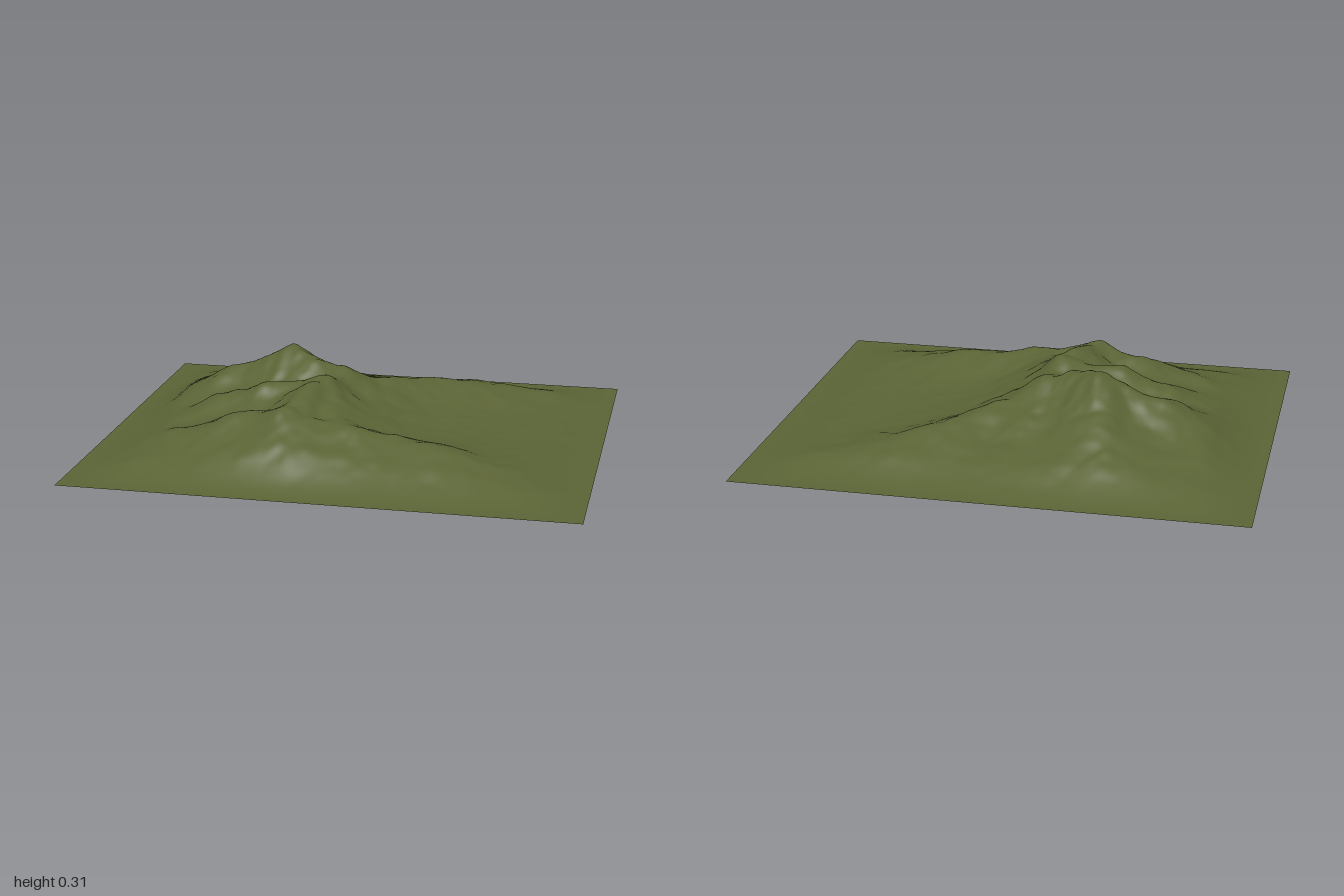
import * as THREE from 'three';

const HALF_X = 1, HALF_Z = 0.848;

// Ridge lines as [x, z, height] points
const RIDGES = [
  // north spine, from the west foot over the summit to the north-east foot
  [[-0.9, -0.12, 0.04], [-0.7, -0.16, 0.13], [-0.57, -0.17, 0.205], [-0.42, -0.17, 0.26], [-0.33, -0.2, 0.31],
    [-0.2, -0.13, 0.28], [-0.09, -0.12, 0.24], [0.03, -0.22, 0.175], [0.2, -0.38, 0.14], [0.4, -0.5, 0.1], [0.65, -0.6, 0.05]],
  // saddle to the southern massif and its broad east shoulder
  [[-0.09, -0.12, 0.24], [-0.09, 0, 0.225], [-0.12, 0.08, 0.255], [-0.16, 0.2, 0.26], [-0.18, 0.31, 0.235], [-0.2, 0.41, 0.215]],
  [[-0.12, 0.08, 0.255], [-0.06, 0.2, 0.21], [-0.03, 0.32, 0.18], [0.03, 0.41, 0.17]],
  // long south-east ridge
  [[-0.2, 0.41, 0.215], [0, 0.42, 0.175], [0.2, 0.42, 0.14], [0.4, 0.45, 0.125], [0.6, 0.51, 0.07], [0.82, 0.57, 0.035]],
  // west spurs of the southern massif
  [[-0.12, 0.08, 0.255], [-0.35, 0.11, 0.225], [-0.55, 0.12, 0.165], [-0.8, 0.16, 0.06]],
  [[-0.2, 0.41, 0.215], [-0.4, 0.37, 0.18], [-0.6, 0.42, 0.11], [-0.8, 0.48, 0.05]],
  // north spurs
  [[-0.33, -0.2, 0.31], [-0.35, -0.35, 0.22], [-0.4, -0.5, 0.13], [-0.42, -0.68, 0.05]],
  [[-0.09, -0.12, 0.24], [-0.09, -0.3, 0.165], [-0.06, -0.5, 0.095], [-0.02, -0.7, 0.04]],
  [[-0.57, -0.17, 0.205], [-0.69, -0.32, 0.1], [-0.76, -0.45, 0.05]],
];

// Smooth seeded value noise in -1..1
function hash(i, j) {
  let n = Math.imul(i, 374761393) ^ Math.imul(j, 668265263) ^ 1274126177;
  n = Math.imul(n ^ (n >>> 13), 1103515245);
  return ((n ^ (n >>> 16)) >>> 0) / 2147483648 - 1;
}
function noise(x, z) {
  const i = Math.floor(x), j = Math.floor(z);
  const u = THREE.MathUtils.smootherstep(x - i, 0, 1), v = THREE.MathUtils.smootherstep(z - j, 0, 1);
  const { lerp } = THREE.MathUtils;
  return lerp(lerp(hash(i, j), hash(i + 1, j), u), lerp(hash(i, j + 1), hash(i + 1, j + 1), u), v);
}

// Height a ridge gives at a point: its own height, fading with distance
function ridgeHeight(points, x, z) {
  let best = 0;
  for (let i = 1; i < points.length; i++) {
    const [ax, az, ay] = points[i - 1], [bx, bz, by] = points[i];
    const dx = bx - ax, dz = bz - az;
    const t = THREE.MathUtils.clamp(((x - ax) * dx + (z - az) * dz) / (dx * dx + dz * dz), 0, 1);
    const d = Math.hypot(x - ax - t * dx, z - az - t * dz);
    const y = ay + (by - ay) * t;
    best = Math.max(best, y * Math.exp(-(Math.hypot(d, 0.06) - 0.06) / 0.23));
  }
  return best;
}

function smoothMax(a, b, k) {
  const h = Math.max(k - Math.abs(a - b), 0) / k;
  return Math.max(a, b) + h * h * k * 0.25;
}

function terrainHeight(x, z) {
  // bend the ridges so they wander naturally
  const wx = x + 0.018 * noise(x * 6, z * 6) + 0.008 * noise(x * 15 + 9, z * 15);
  const wz = z + 0.018 * noise(x * 6 + 31, z * 6 + 17) + 0.008 * noise(x * 15, z * 15 + 5);
  let h = 0;
  for (const ridge of RIDGES) h = smoothMax(h, ridgeHeight(ridge, wx, wz), 0.03);
  // gullies and small crags, stronger higher up
  h *= 1 + 0.03 * noise(x * 9 + 3, z * 9) + 0.025 * noise(x * 22, z * 22 + 40);
  // settle to level ground at the border
  const edge = THREE.MathUtils.smoothstep(HALF_X - Math.abs(x), 0, 0.27)
    * THREE.MathUtils.smoothstep(HALF_Z - Math.abs(z), 0, 0.25);
  return h * edge;
}

export function createModel() {
  const group = new THREE.Group();
  group.name = 'mountainTerrain';

  const grass = new THREE.MeshStandardMaterial({ color: 0x5a6335, side: THREE.DoubleSide });
  grass.name = 'olive green';

  // Open ground sheet, raised into hills
  const sheet = new THREE.PlaneGeometry(HALF_X * 2, HALF_Z * 2, 170, 144);
  sheet.rotateX(-Math.PI / 2);
  const p = sheet.attributes.position;
  for (let i = 0; i < p.count; i++) p.setY(i, terrainHeight(p.getX(i), p.getZ(i)));
  sheet.computeVertexNormals();

  const ground = new THREE.Mesh(sheet, grass);
  ground.name = 'terrain';
  group.add(ground);
  return group;
}
